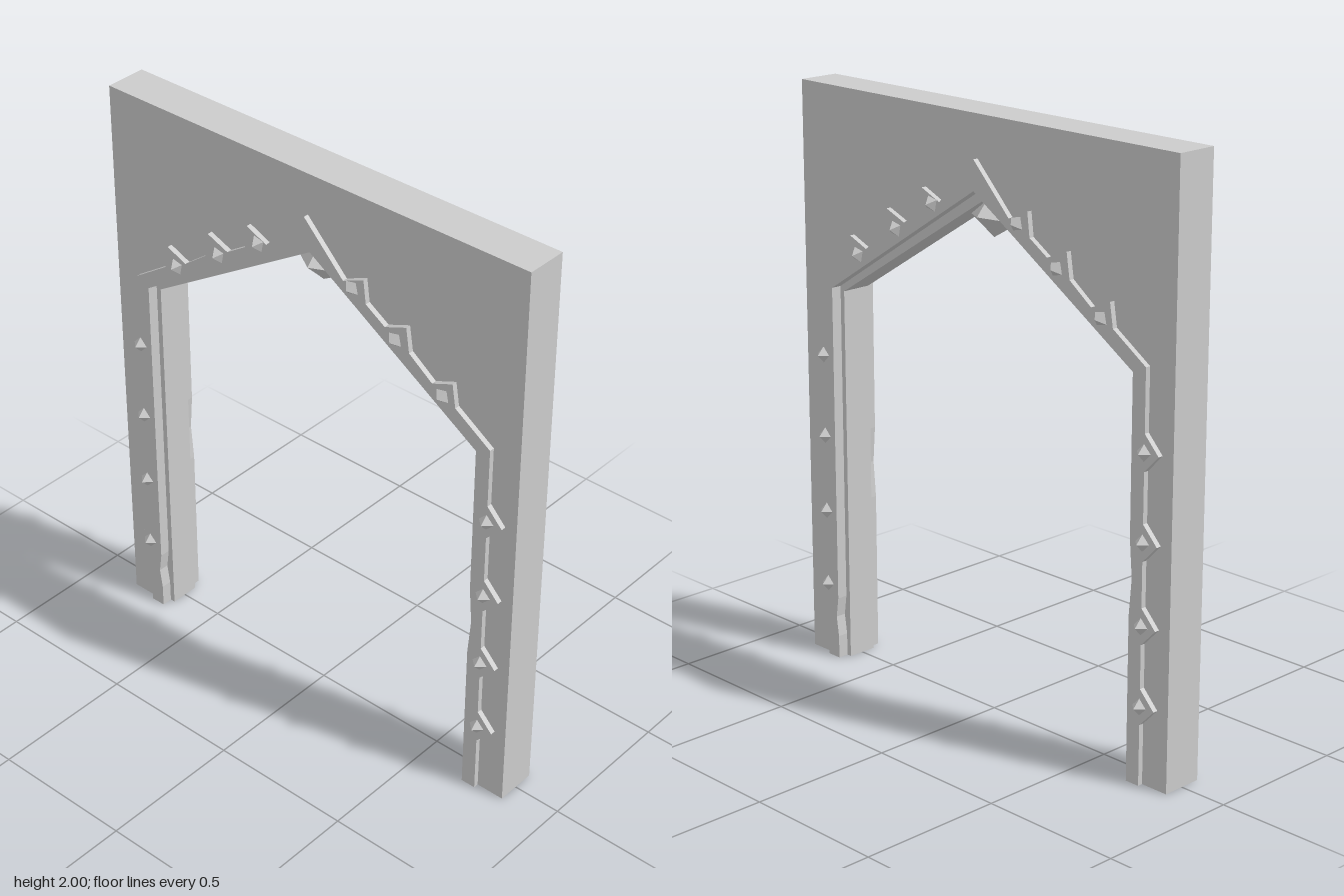
import * as THREE from 'three';

const mat = new THREE.MeshStandardMaterial({ color: 0xcccccc, flatShading: true, side: THREE.DoubleSide });
const STUD_Y = [0.265, 0.53, 0.8, 1.085];
const ARCH_STUDS = [[0.545, 1.462], [0.36, 1.58], [0.19, 1.69]];

const mirror = (pts) => pts.map(([x, y]) => [-x, y]).reverse();

function slab(name, pts, z0, z1) {
  const shape = new THREE.Shape(pts.map(([x, y]) => new THREE.Vector2(x, y)));
  const geo = new THREE.ExtrudeGeometry(shape, { depth: z1 - z0, bevelEnabled: false });
  geo.translate(0, 0, z0);
  const mesh = new THREE.Mesh(geo, mat);
  mesh.name = name;
  return mesh;
}

// Half outline of the trim's outer edge, foot to peak, with a point beside every stud
function outerEdge(chip) {
  const pts = [[0.73, 0]];
  for (const y of STUD_Y) pts.push([0.73, y - 0.06], [0.787, y], [0.73, y + 0.06]);
  pts.push(...chip, [0.73, 1.35]);
  pts.push([0.595, 1.44], [0.582, 1.52], [0.505, 1.488]);
  pts.push([0.415, 1.555], [0.402, 1.64], [0.32, 1.607]);
  pts.push([0.245, 1.655], [0.235, 1.735], [0.155, 1.70]);
  return pts;
}

// Half outline of the trim's inner edge, foot to shoulder, with one worn chip
const innerEdge = (y0, y1) => [
  [0.678, 0], [0.678, y0], [0.688, (y0 + y1) / 2], [0.678, y1], [0.678, 1.325],
];

// Trim and studs on one face of the wall
function faceTrim() {
  const g = new THREE.Group();
  const right = outerEdge([[0.73, 1.16]]);
  const left = outerEdge([[0.73, 1.16], [0.718, 1.24], [0.73, 1.3]]);
  g.add(slab('archTrim', [
    ...right, [0, 1.86], ...mirror(left),
    ...innerEdge(0.08, 0.22).map(([x, y]) => [-x, y]), [0, 1.76],
    ...innerEdge(0.55, 0.8).reverse(),
  ], 0.05, 0.09));

  const studGeo = new THREE.ConeGeometry(0.03, 0.028, 4);
  studGeo.rotateX(Math.PI / 2);
  const addStud = (x, y, turn) => {
    const stud = new THREE.Mesh(studGeo, mat);
    stud.name = 'stud';
    stud.position.set(x, y, 0.102);
    stud.rotation.z = turn;
    g.add(stud);
  };
  for (const s of [-1, 1]) {
    for (const y of STUD_Y) addStud(s * 0.728, y, 0);
    for (const [x, y] of ARCH_STUDS) addStud(s * x, y, -s * 0.57);
  }
  return g;
}

export function createModel() {
  const model = new THREE.Group();

  // Wall with the pointed doorway cut out
  model.add(slab('wall', [
    [0.83, 0], [0.83, 2], [-0.83, 2], [-0.83, 0],
    [-0.69, 0], [-0.69, 1.33], [0, 1.77], [0.69, 1.33], [0.69, 0],
  ], -0.072, 0.072));

  // Narrower lining inside the doorway
  model.add(slab('doorwayLining', [
    [0.70, 0], [0.70, 1.335], [0, 1.78], [-0.70, 1.335], [-0.70, 0],
    [-0.66, 0], [-0.66, 1.31], [0, 1.722], [0.66, 1.31], [0.66, 0],
  ], -0.053, 0.053));

  // Matching trim on the front and back
  const front = faceTrim();
  front.name = 'frontTrim';
  const back = faceTrim();
  back.name = 'backTrim';
  back.rotation.y = Math.PI;
  model.add(front, back);

  // Faceted keystone hanging under the peak
  const keyGeo = new THREE.OctahedronGeometry(1);
  const p = keyGeo.attributes.position;
  for (let i = 0; i < p.count; i++) {
    const y = p.getY(i);
    const x = p.getX(i);
    const level = y > 0.5 ? 1.76 : y < -0.5 ? 1.60 : Math.abs(x) > 0.5 ? 1.66 : 1.675;
    p.setXYZ(i, x * 0.105, level, p.getZ(i) * 0.075);
  }
  keyGeo.computeVertexNormals();
  const keystone = new THREE.Mesh(keyGeo, mat);
  keystone.name = 'keystone';
  model.add(keystone);

  return model;
}
